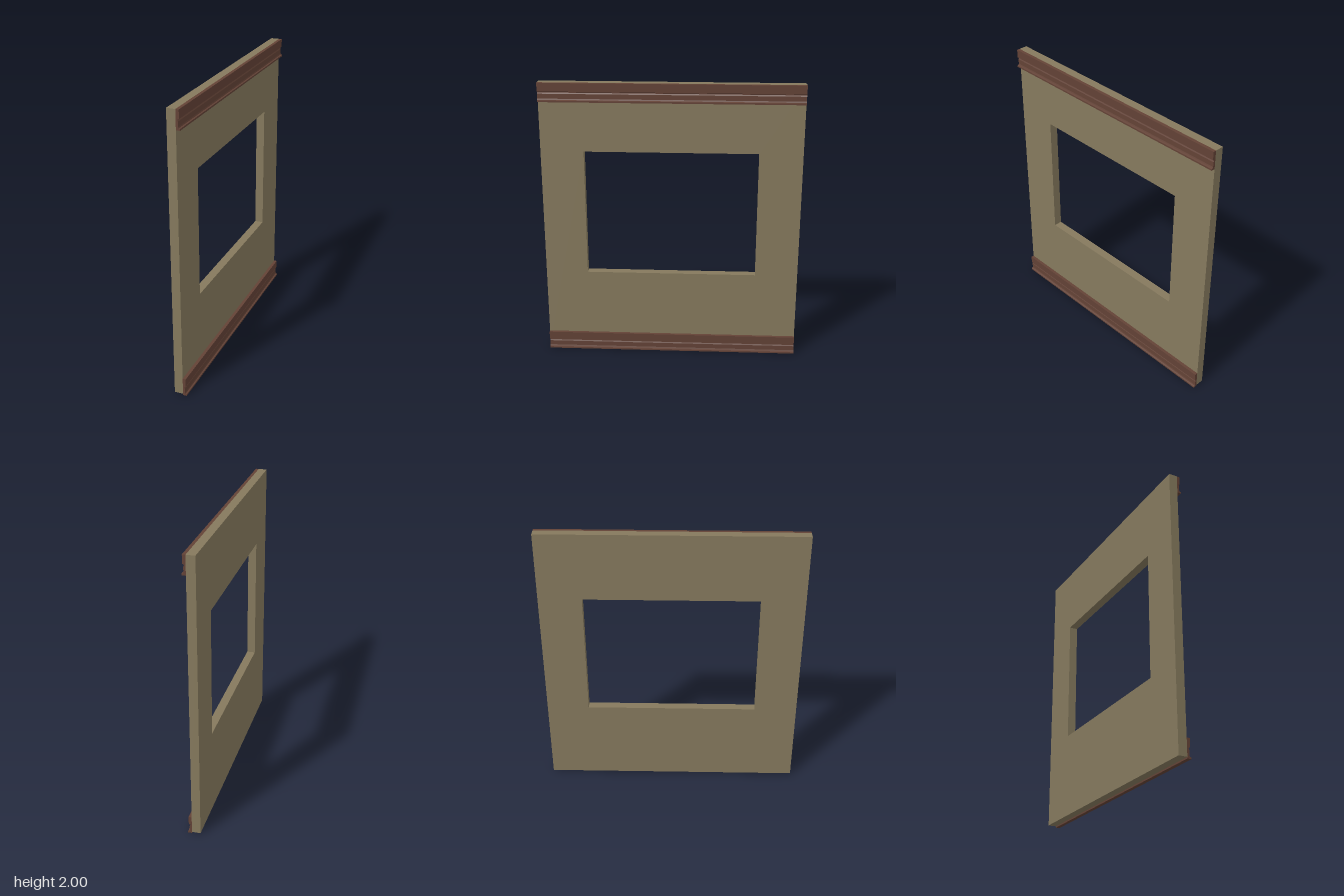
import * as THREE from 'three';

const wallPaint = new THREE.MeshStandardMaterial({ color: 0x85795d });
wallPaint.name = 'wallPaint';
const brownWood = new THREE.MeshStandardMaterial({ color: 0x634236 });
brownWood.name = 'brownWood';

const HALF_WIDTH = 0.905;

// Rectangle outline, counter-clockwise
const rect = (x0, y0, x1, y1) => [[x0, y0], [x1, y0], [x1, y1], [x0, y1]].map(p => new THREE.Vector2(...p));

// Wall panel with a window opening, drawn in z/y and extruded through its thickness
function makeWall() {
  const shape = new THREE.Shape(rect(-HALF_WIDTH, 0.01, HALF_WIDTH, 2));
  shape.holes.push(new THREE.Path(rect(-0.605, 0.615, 0.605, 1.52).reverse()));
  const geometry = new THREE.ExtrudeGeometry(shape, { depth: 0.06, bevelEnabled: false });
  geometry.rotateY(-Math.PI / 2).translate(0.015, 0, 0);
  const wall = new THREE.Mesh(geometry, wallPaint);
  wall.name = 'wallPanel';
  return wall;
}

// Moulding strip: stepped profile with a groove and a bottom lip
function makeMoulding(name, y) {
  const profile = [
    [0.015, 0], [0.042, 0], [0.042, 0.011], [0.033, 0.014], [0.03, 0.022], [0.03, 0.055],
    [0.026, 0.063], [0.026, 0.067], [0.036, 0.072], [0.037, 0.13], [0.015, 0.13],
  ].map(p => new THREE.Vector2(...p));
  const geometry = new THREE.ExtrudeGeometry(new THREE.Shape(profile), { depth: 2 * HALF_WIDTH, bevelEnabled: false });
  geometry.translate(0, y, -HALF_WIDTH);
  const moulding = new THREE.Mesh(geometry, brownWood);
  moulding.name = name;
  return moulding;
}

export function createModel() {
  const model = new THREE.Group();
  model.name = 'windowWall';
  model.add(makeWall(), makeMoulding('baseMoulding', 0), makeMoulding('topMoulding', 1.87));
  return model;
}
